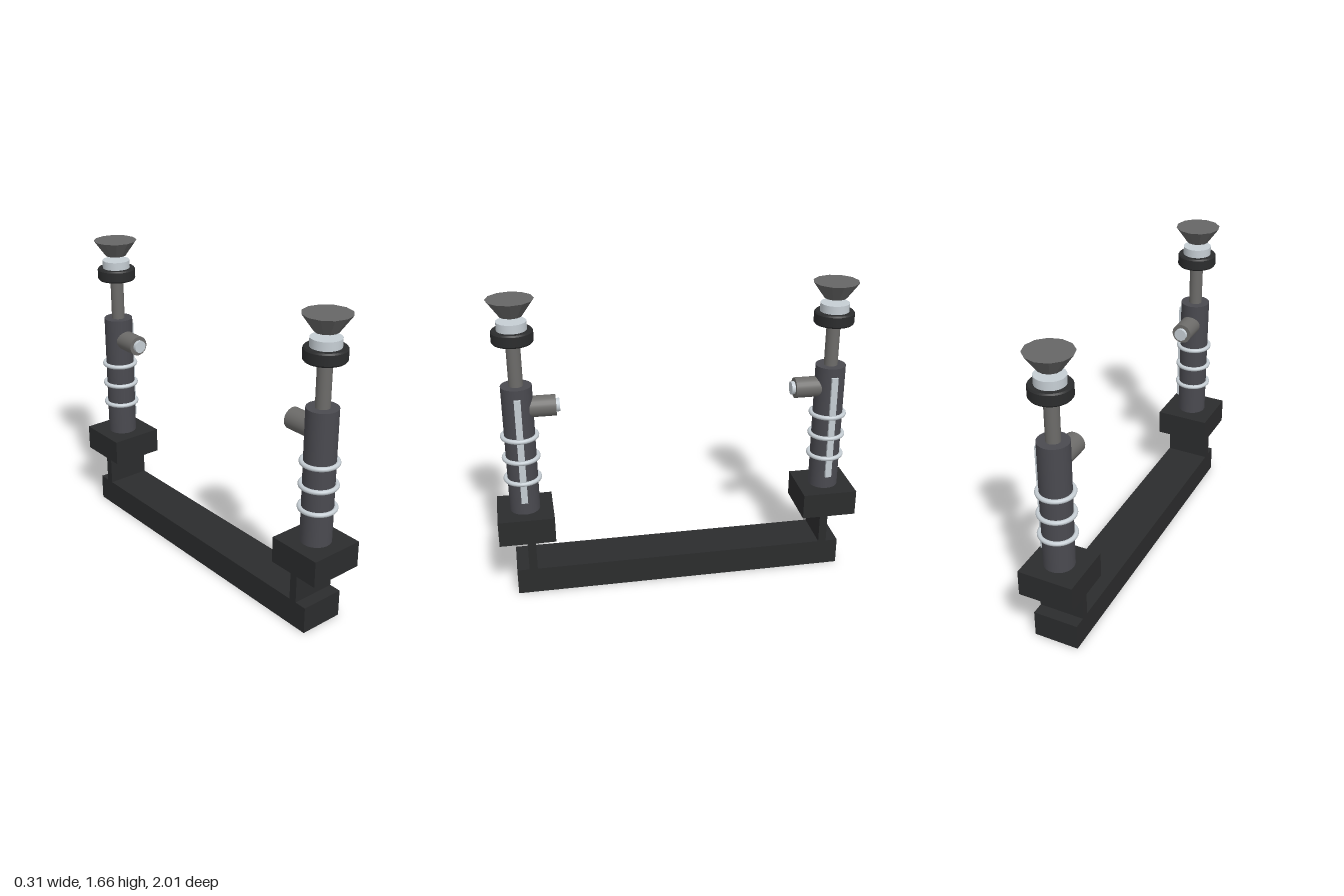
import * as THREE from 'three';

const mat = (color) => new THREE.MeshStandardMaterial({ color });
const dark = mat(0x2b2c2d);
const gunmetal = mat(0x4a4a50);
const steel = mat(0x6c6b69);
const silver = mat(0xc6ced4);
const cupGrey = mat(0x666666);
cupGrey.flatShading = true;

function add(parent, name, geometry, material, x = 0, y = 0, z = 0) {
  const mesh = new THREE.Mesh(geometry, material);
  mesh.name = name;
  mesh.position.set(x, y, z);
  parent.add(mesh);
  return mesh;
}

const box = (w, h, d) => new THREE.BoxGeometry(w, h, d);

// Upright cylinder between two heights
function post(parent, name, material, radius, y0, y1, sides = 32) {
  return add(parent, name, new THREE.CylinderGeometry(radius, radius, y1 - y0, sides), material, 0, (y0 + y1) / 2);
}

// One telescopic support; inward is the z direction towards the middle
function createSupport(inward) {
  const g = new THREE.Group();
  g.name = inward < 0 ? 'frontSupport' : 'backSupport';
  g.position.z = -0.85 * inward;

  // Foot: thin web carrying a block
  add(g, 'web', box(0.25, 0.18, 0.045), dark, 0, 0.24, inward * 0.02);
  add(g, 'block', box(0.305, 0.145, 0.305), dark, 0, 0.4025, 0);

  // Outer sleeve with scale strip and clamp rings
  post(g, 'sleeve', gunmetal, 0.082, 0.475, 1.2);
  add(g, 'scaleStrip', box(0.02, 0.6, 0.035), silver, 0.085, 0.85, 0);
  for (const y of [0.665, 0.79, 0.915]) {
    const ring = add(g, 'clampRing', new THREE.TorusGeometry(0.091, 0.0125, 10, 40), silver, 0, y, 0);
    ring.rotation.x = Math.PI / 2;
  }

  // Locking knob with end cap, pointing inwards
  const knob = new THREE.Group();
  knob.name = 'lockingKnob';
  knob.position.y = 1.075;
  knob.rotation.x = inward * Math.PI / 2;
  post(knob, 'knobBody', steel, 0.057, 0.04, 0.2, 24);
  post(knob, 'knobCap', silver, 0.036, 0.19, 0.22, 24);
  g.add(knob);

  // Inner rod, collar and bearing disc
  post(g, 'rod', steel, 0.0375, 1.19, 1.45, 24);
  post(g, 'collar', dark, 0.108, 1.445, 1.497);
  for (const [y0, r0, r1] of [[1.437, 0.102, 0.108], [1.497, 0.108, 0.102]]) {
    add(g, 'collarBevel', new THREE.CylinderGeometry(r1, r0, 0.008, 32), dark, 0, y0 + 0.004, 0);
  }
  post(g, 'bearingDisc', silver, 0.078, 1.5, 1.55);

  // Flared faceted cup floating over the disc
  add(g, 'cup', new THREE.CylinderGeometry(0.123, 0.06, 0.087, 12), cupGrey, 0, 1.6215, 0);
  return g;
}

export function createModel() {
  const model = new THREE.Group();
  model.name = 'supportStand';
  add(model, 'baseBeam', box(0.25, 0.15, 1.84), dark, 0, 0.075, 0);
  for (const inward of [-1, 1]) model.add(createSupport(inward));
  return model;
}
